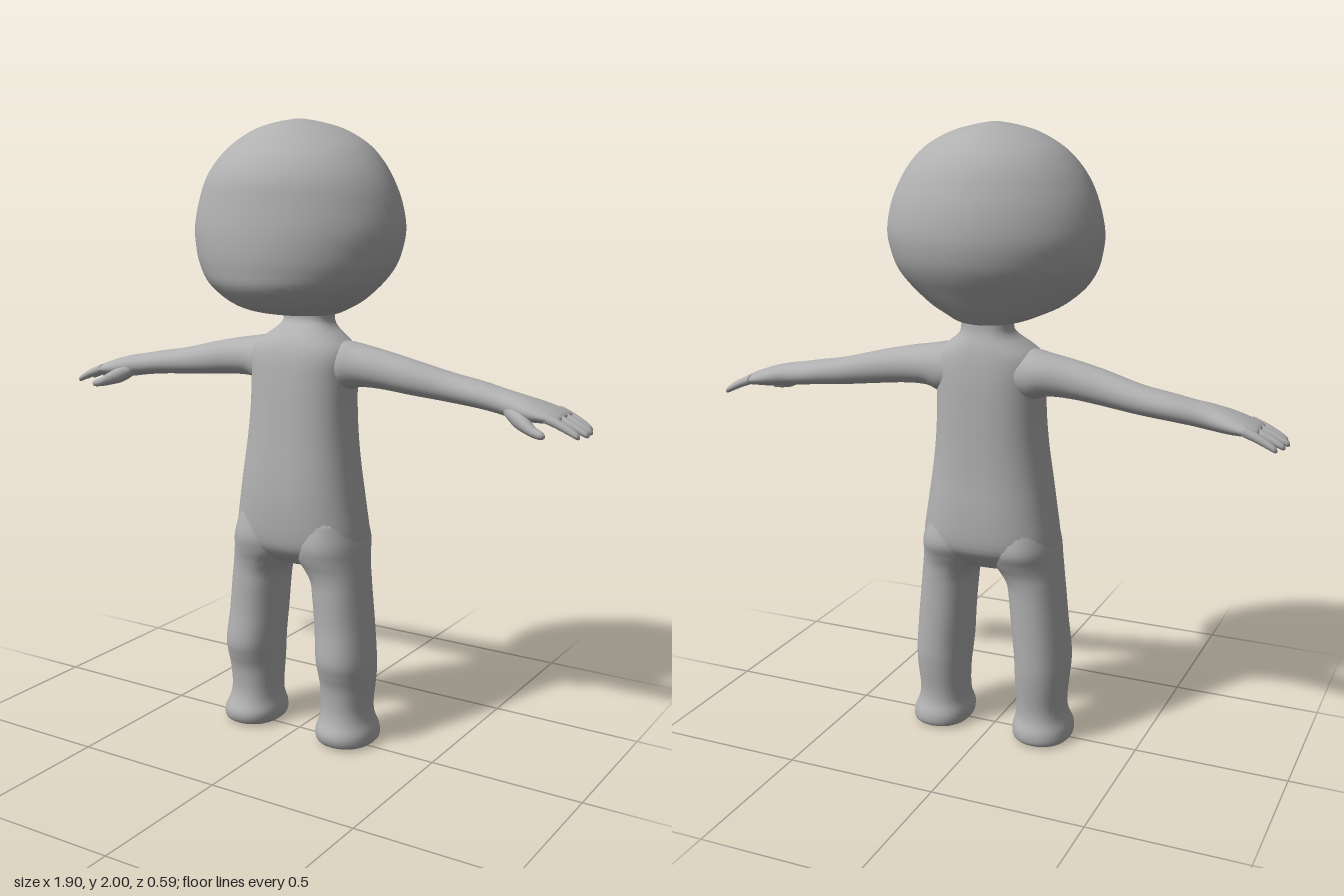
import * as THREE from 'three';

const skin = new THREE.MeshStandardMaterial({ color: 0xb0b0b0 });
skin.name = 'plain grey';

// Smooth closed tube through rows [t, a0, a1, b0, b1]: at height t the section
// spans a0..a1 by b0..b1. Upright: t = y, a = x, b = z. Sideways: t = x, a = z, b = y.
function loft(name, rows, { n = 2, sideways = false, side = 1, seg = 32, steps = 4 } = {}) {
  const spline = (i, j) => new THREE.CatmullRomCurve3(
    rows.map(r => new THREE.Vector3(r[0], r[i], r[j])), false, 'catmullrom', 0.5);
  const curveA = spline(1, 2), curveB = spline(3, 4);
  const pos = [], index = [];
  const put = (t, a, b) => sideways ? pos.push(side * t, b, a) : pos.push(side * a, t, b);
  const tri = (a, b, c) => side > 0 ? index.push(a, b, c) : index.push(a, c, b);
  const power = v => Math.sign(v) * Math.abs(v) ** (2 / n);
  const count = (rows.length - 1) * steps;

  for (let i = 0; i <= count; i++) {
    const A = curveA.getPoint(i / count), B = curveB.getPoint(i / count);
    for (let j = 0; j < seg; j++) {
      const q = j / seg * Math.PI * 2;
      put(A.x, (A.y + A.z) / 2 + (A.z - A.y) / 2 * power(Math.cos(q)),
        (B.y + B.z) / 2 + (B.z - B.y) / 2 * power(Math.sin(q)));
    }
  }
  for (let i = 0; i < count; i++) for (let j = 0; j < seg; j++) {
    const k = (j + 1) % seg, p = i * seg, r = p + seg;
    tri(p + j, r + j, r + k);
    tri(p + j, r + k, p + k);
  }
  // end caps
  for (const i of [0, count]) {
    const row = rows[i ? rows.length - 1 : 0], centre = pos.length / 3, p = i * seg;
    put(row[0], (row[1] + row[2]) / 2, (row[3] + row[4]) / 2);
    for (let j = 0; j < seg; j++) {
      const k = (j + 1) % seg;
      if (i) tri(p + j, centre, p + k); else tri(p + k, centre, p + j);
    }
  }
  const g = new THREE.BufferGeometry();
  g.setAttribute('position', new THREE.Float32BufferAttribute(pos, 3));
  g.setIndex(index);
  g.computeVertexNormals();
  const mesh = new THREE.Mesh(g, skin);
  mesh.name = name;
  return mesh;
}

// symmetric row: height, half width, back, front
const sym = ([y, w, back, front]) => [y, -w, w, back, front];

export function createModel() {
  const model = new THREE.Group();
  model.name = 'figure';

  // Large round head, flatter underneath
  model.add(loft('head', [
    [1.395, 0.03, -0.10, -0.03], [1.40, 0.10, -0.14, 0.06], [1.42, 0.16, -0.165, 0.175],
    [1.45, 0.22, -0.19, 0.235], [1.5, 0.28, -0.225, 0.278], [1.55, 0.317, -0.258, 0.29],
    [1.6, 0.335, -0.28, 0.295], [1.67, 0.345, -0.292, 0.293], [1.75, 0.33, -0.285, 0.282],
    [1.82, 0.302, -0.265, 0.268], [1.88, 0.262, -0.238, 0.235], [1.93, 0.21, -0.195, 0.185],
    [1.97, 0.135, -0.14, 0.135], [1.99, 0.065, -0.075, 0.075], [2.0, 0.01, -0.01, 0.01],
  ].map(sym), { n: 1.95, seg: 48 }));

  // Neck, sloping shoulders, trunk and seat
  model.add(loft('torso', [
    [0.59, 0.04, -0.05, 0.03], [0.60, 0.12, -0.10, 0.07], [0.64, 0.20, -0.148, 0.112],
    [0.69, 0.225, -0.176, 0.13], [0.8, 0.21, -0.177, 0.135], [0.9, 0.195, -0.17, 0.13],
    [1.0, 0.182, -0.166, 0.12], [1.1, 0.175, -0.164, 0.11], [1.2, 0.175, -0.161, 0.10],
    [1.26, 0.178, -0.156, 0.092], [1.3, 0.165, -0.15, 0.08], [1.33, 0.13, -0.143, 0.062],
    [1.355, 0.097, -0.134, 0.035], [1.38, 0.082, -0.127, 0.01], [1.42, 0.085, -0.125, 0.01],
  ].map(sym), { n: 2.4, seg: 48 }));

  for (const [word, side] of [['left', 1], ['right', -1]]) {
    // Leg with knee swelling, ankle and rounded foot
    model.add(loft(word + 'Leg', [
      [0, 0.11, 0.255, -0.10, 0.07], [0.012, 0.087, 0.278, -0.127, 0.098],
      [0.045, 0.083, 0.277, -0.13, 0.106], [0.085, 0.093, 0.262, -0.115, 0.088],
      [0.13, 0.095, 0.257, -0.112, 0.08], [0.2, 0.092, 0.263, -0.12, 0.085],
      [0.25, 0.089, 0.266, -0.125, 0.1], [0.3, 0.086, 0.265, -0.126, 0.11],
      [0.4, 0.077, 0.256, -0.126, 0.1], [0.5, 0.068, 0.246, -0.126, 0.1],
      [0.55, 0.06, 0.241, -0.128, 0.1], [0.59, 0.035, 0.237, -0.134, 0.106],
      [0.63, 0.008, 0.232, -0.15, 0.118], [0.68, 0.005, 0.226, -0.168, 0.126],
      [0.76, 0.02, 0.205, -0.15, 0.11],
    ], { n: 2.2, side }));

    // Arm widening into the shoulder and the palm
    model.add(loft(word + 'Arm', [
      [0.08, -0.135, 0.05, 1.17, 1.315], [0.15, -0.135, 0.045, 1.16, 1.32],
      [0.2, -0.13, 0.03, 1.178, 1.312], [0.28, -0.118, 0.016, 1.178, 1.298],
      [0.38, -0.117, 0.005, 1.168, 1.276], [0.5, -0.128, -0.015, 1.156, 1.246],
      [0.6, -0.132, -0.015, 1.147, 1.228], [0.67, -0.123, -0.014, 1.138, 1.214],
      [0.72, -0.122, -0.004, 1.13, 1.205], [0.78, -0.138, 0.008, 1.126, 1.19],
      [0.83, -0.147, 0.006, 1.128, 1.173], [0.86, -0.145, 0.002, 1.13, 1.16],
      [0.87, -0.13, -0.015, 1.135, 1.152],
    ], { n: 2.1, sideways: true, side }));

    // Four fingers drooping outward
    [[-0.132, 0.93], [-0.092, 0.945], [-0.05, 0.95], [-0.01, 0.937]].forEach(([z, tip], i) => {
      const start = 0.83, length = tip - start;
      const rows = [[0, 0.015, 0.016], [0.35, 0.0155, 0.015], [0.7, 0.0145, 0.013],
        [0.93, 0.012, 0.01], [1, 0.004, 0.004]].map(([f, w, h]) => {
        const y = 1.152 - 0.048 * f * (0.7 + 0.3 * f);
        return [start + length * f, z - w, z + w, y - h, y + h];
      });
      model.add(loft(word + 'Finger' + (i + 1), rows, { sideways: true, side, seg: 14 }));
    });

    // Thumb, low on the front edge of the palm
    model.add(loft(word + 'Thumb', [
      [0.7, -0.05, -0.01, 1.14, 1.18], [0.74, -0.04, 0.012, 1.113, 1.17],
      [0.78, -0.022, 0.029, 1.101, 1.148], [0.81, -0.001, 0.036, 1.095, 1.127],
      [0.835, 0.011, 0.036, 1.093, 1.117], [0.845, 0.02, 0.028, 1.099, 1.108],
    ], { sideways: true, side, seg: 16 }));
  }
  return model;
}
